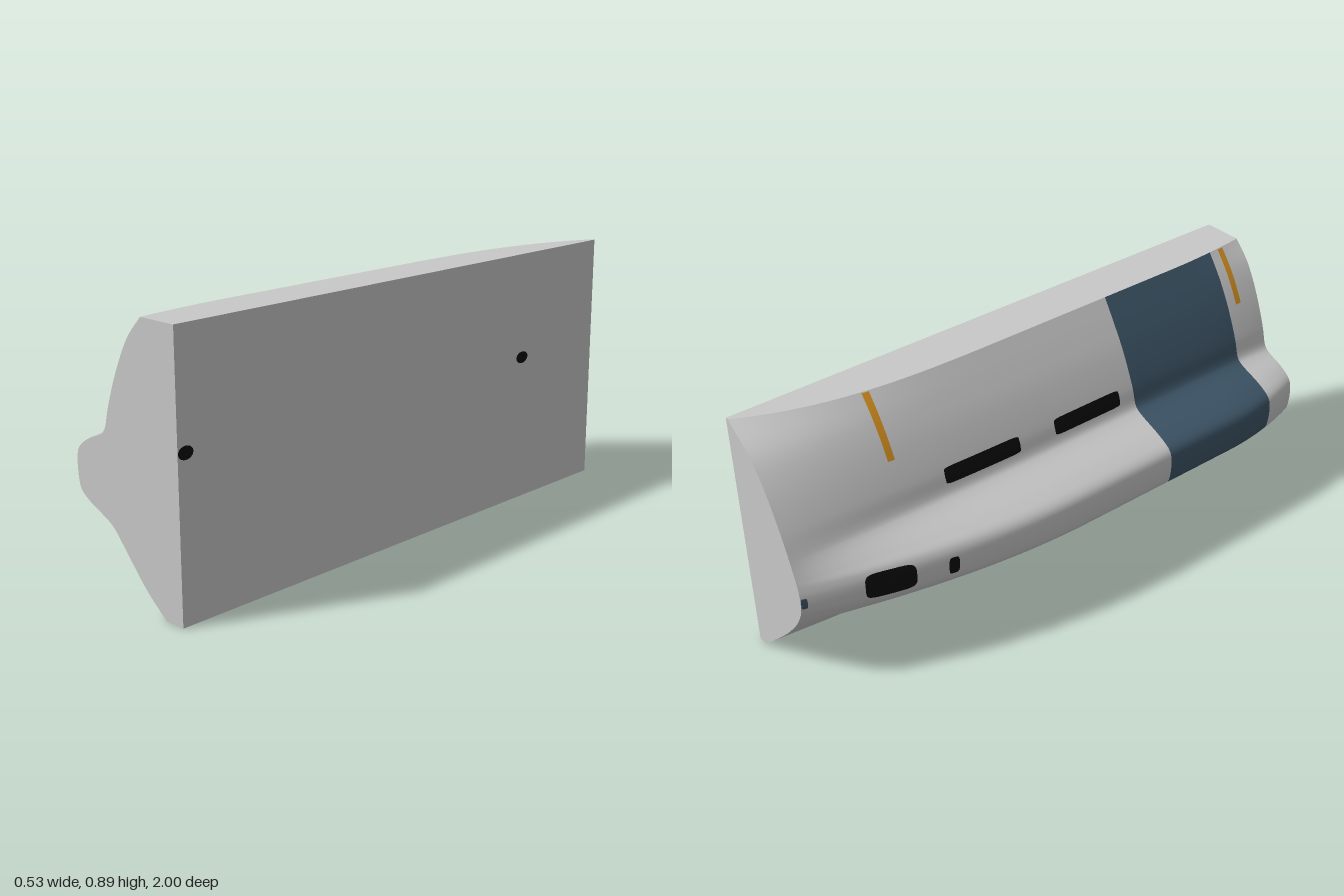
import * as THREE from 'three';

const BACK_X = 0.265, H = 0.893;

// Matching cross-sections (x, y) from bottom edge to top edge
const profile = (pts) => new THREE.CatmullRomCurve3(pts.map(([x, y]) => new THREE.Vector3(x, y, 0)));
const MID = profile([[0.175, 0], [0.09, 0.07], [0, 0.165], [-0.07, 0.225], [-0.22, 0.29], [-0.253, 0.318],
  [-0.264, 0.35], [-0.265, 0.43], [-0.25, 0.457], [-0.2, 0.485], [-0.09, 0.53], [-0.075, 0.547],
  [-0.055, 0.61], [0, 0.73], [0.05, 0.815], [0.1, H]]);
const FRONT = profile([[0.19, 0], [0.1, 0.075], [0, 0.185], [-0.05, 0.235], [-0.16, 0.288], [-0.195, 0.315],
  [-0.205, 0.345], [-0.207, 0.42], [-0.195, 0.45], [-0.15, 0.483], [-0.08, 0.515], [-0.065, 0.533],
  [-0.045, 0.6], [0, 0.715], [0.06, 0.825], [0.122, H]]);
const BACK = profile([[0.228, 0], [0.165, 0.06], [0.075, 0.15], [0.03, 0.2], [-0.025, 0.27], [-0.05, 0.315],
  [-0.062, 0.345], [-0.065, 0.4], [-0.059, 0.435], [-0.052, 0.46], [-0.03, 0.52], [-0.02, 0.545],
  [0.008, 0.61], [0.07, 0.725], [0.14, 0.815], [0.255, H]]);

// Point on the curved skin: u runs bottom to top, z runs back to front
function skin(u, z) {
  const p = MID.getPoint(u);
  if (z > 0.65) p.lerp(FRONT.getPoint(u), ((z - 0.65) / 0.35) ** 2);
  if (z < 0) p.lerp(BACK.getPoint(u), (-z) ** (2 + 1.5 * THREE.MathUtils.smoothstep(u, 0.7, 1)));
  p.z = z;
  return p;
}

// Skin point at a given height, lifted along the surface normal
function skinAt(y, z, lift) {
  let lo = 0, hi = 1;
  for (let i = 0; i < 24; i++) {
    const m = (lo + hi) / 2;
    if (skin(m, z).y < y) lo = m; else hi = m;
  }
  const e = 0.004, z0 = Math.max(-1, z - e), z1 = Math.min(1, z + e);
  const du = skin(Math.min(1, lo + e), z).sub(skin(Math.max(0, lo - e), z));
  const dz = skin(lo, z1).sub(skin(lo, z0));
  return skin(lo, z).addScaledVector(dz.cross(du).normalize(), lift);
}

// Surface from f(a, b) over two lists of parameters
function grid(f, as, bs) {
  const pos = [], idx = [], n = bs.length;
  as.forEach((a) => bs.forEach((b) => pos.push(...f(a, b).toArray())));
  for (let i = 0; i < as.length - 1; i++) {
    for (let j = 0; j < n - 1; j++) {
      const k = i * n + j;
      idx.push(k, k + n, k + 1, k + 1, k + n, k + n + 1);
    }
  }
  const g = new THREE.BufferGeometry();
  g.setAttribute('position', new THREE.Float32BufferAttribute(pos, 3));
  g.setIndex(idx);
  g.computeVertexNormals();
  return g;
}

const range = (a, b, n) => Array.from({ length: n + 1 }, (_, i) => a + (b - a) * i / n);

export function createModel() {
  const group = new THREE.Group();
  const mat = (name, color) => {
    const m = new THREE.MeshStandardMaterial({ color });
    m.name = name;
    return m;
  };
  const grey = mat('light grey', 0xc8c8c8);
  const blue = mat('slate blue', 0x3d5567);
  const orange = mat('amber', 0xd08c1e);
  const black = mat('black', 0x0a0a0a);
  const add = (name, geo, material) => {
    const m = new THREE.Mesh(geo, material);
    m.name = name;
    group.add(m);
    return m;
  };

  // Curved skin with a blue band around it
  const zs = [...range(-1, 0.35, 54), ...range(0.35, 0.85, 20).slice(1), ...range(0.85, 1, 10).slice(1)];
  const us = range(0, 1, 90);
  const skinGeo = grid((z, u) => skin(u, z), zs, us);
  const row = 90 * 6;
  skinGeo.addGroup(0, 54 * row, 0);
  skinGeo.addGroup(54 * row, 20 * row, 1);
  skinGeo.addGroup(74 * row, 10 * row, 0);
  add('curvedSkin', skinGeo, [grey, blue]);

  // Flat top, bottom and mounting faces
  const v = (x, y, z) => new THREE.Vector3(x, y, z);
  const mix = THREE.MathUtils.lerp;
  add('topFace', grid((z, a) => v(mix(skin(1, z).x, BACK_X, a), H, z), zs, [0, 1]), grey);
  add('bottomFace', grid((z, a) => v(mix(BACK_X, skin(0, z).x, a), 0, z), zs, [0, 1]), grey);
  add('mountingFace', grid((z, y) => v(BACK_X, y, z), [-1, 1], [H, 0]), grey);

  // End caps
  for (const side of [1, -1]) {
    const pts = us.map((u) => { const p = skin(u, side); return new THREE.Vector2(p.x * side, p.y); });
    pts.push(new THREE.Vector2(BACK_X * side, H), new THREE.Vector2(BACK_X * side, 0));
    const cap = add(side > 0 ? 'frontCap' : 'backCap', new THREE.ShapeGeometry(new THREE.Shape(pts)), grey);
    cap.position.z = side;
    if (side < 0) cap.rotation.y = Math.PI;
  }

  // Thin markings that follow the skin; a higher power gives squarer corners
  const patch = (name, z0, z1, y0, y1, power, material) => {
    const f = (a, b) => {
      const k = power ? Math.max(0, 1 - Math.abs(a) ** power) ** (1 / power) : 1;
      return skinAt((y0 + y1) / 2 + b * k * (y1 - y0) / 2, mix(z0, z1, (a + 1) / 2), 0.003);
    };
    const as = range(-Math.PI / 2, Math.PI / 2, 24).map(Math.sin);
    add(name, grid(f, as, range(-1, 1, 12)), material);
  };
  patch('rearSlot', -0.44, -0.145, 0.567, 0.622, 10, black);
  patch('frontSlot', 0, 0.285, 0.567, 0.622, 10, black);
  patch('window', -0.81, -0.65, 0.34, 0.435, 5, black);
  patch('smallWindow', -0.545, -0.51, 0.35, 0.415, 4, black);
  patch('rearMark', -0.999, -0.98, 0.36, 0.4, 4, blue);
  patch('rearStripe', -0.612, -0.588, 0.7, 0.89, 0, orange);
  patch('frontStripe', 0.888, 0.912, 0.715, 0.89, 0, orange);
  patch('undersideStripe', -0.24, 0.13, 0.255, 0.282, 0, orange);

  // Mounting points on the flat face
  for (const z of [0.972, -0.575]) {
    const dot = add('mountingPoint', new THREE.CircleGeometry(1, 24), black);
    dot.scale.set(z > 0 ? 0.028 : 0.032, 0.021, 1);
    dot.rotation.y = Math.PI / 2;
    dot.position.set(BACK_X + 0.002, 0.523, z);
  }
  return group;
}
